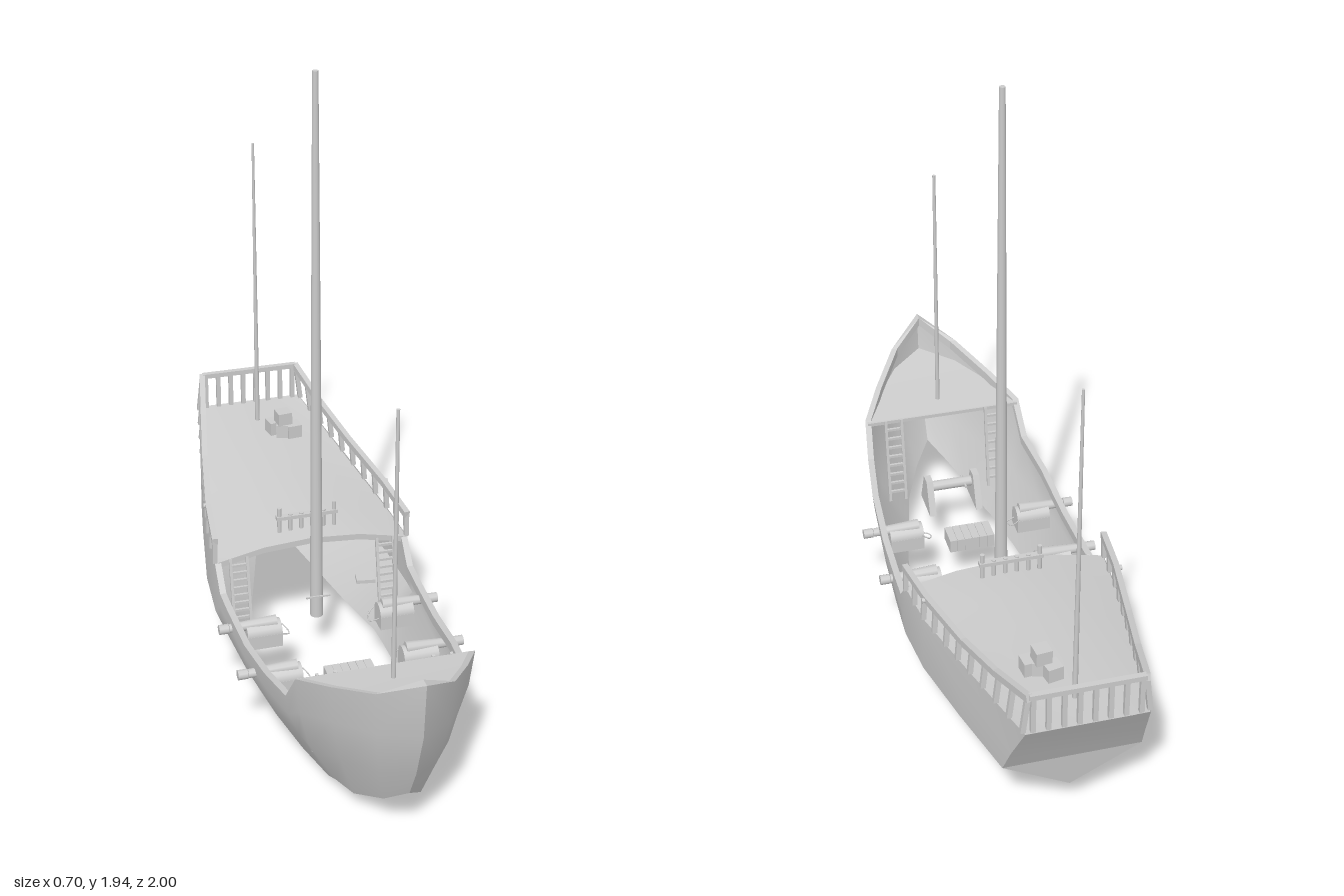
import * as THREE from 'three';
import { toCreasedNormals } from 'three/addons/utils/BufferGeometryUtils.js';

const mat = new THREE.MeshStandardMaterial({ color: 0xcccccc, side: THREE.DoubleSide });
const V = (p) => new THREE.Vector3(...p);

function add(parent, name, geo, x = 0, y = 0, z = 0) {
  const m = new THREE.Mesh(geo, mat);
  m.name = name;
  m.position.set(x, y, z);
  parent.add(m);
  return m;
}

// Surface through rows of [x, y, z] points
function loft(rows, crease = 0.7) {
  const n = rows[0].length, index = [];
  for (let i = 0; i < rows.length - 1; i++)
    for (let j = 0; j < n - 1; j++) {
      const a = i * n + j, b = a + n;
      index.push(a, b, a + 1, b, b + 1, a + 1);
    }
  const g = new THREE.BufferGeometry();
  g.setAttribute('position', new THREE.Float32BufferAttribute(rows.flat(2), 3));
  g.setIndex(index);
  return toCreasedNormals(g, crease);
}

// Square bar or round rod between two points
function bar(parent, name, a, b, w, h = w) {
  const m = add(parent, name, new THREE.BoxGeometry(w, h, V(a).distanceTo(V(b))));
  m.position.copy(V(a)).lerp(V(b), 0.5);
  m.lookAt(V(b));
  return m;
}
function rod(parent, name, a, b, r0, r1 = r0, sides = 10) {
  const d = V(b).sub(V(a));
  const m = add(parent, name, new THREE.CylinderGeometry(r1, r0, d.length(), sides));
  m.position.copy(V(a)).lerp(V(b), 0.5);
  m.quaternion.setFromUnitVectors(new THREE.Vector3(0, 1, 0), d.normalize());
  return m;
}

// Point at depth z on a polyline that runs from front to back
function at(line, z) {
  let i = 0;
  while (i < line.length - 2 && z < line[i + 1][2]) i++;
  const [a, b] = [line[i], line[i + 1]], t = (z - a[2]) / (b[2] - a[2]);
  return a.map((v, k) => v + (b[k] - v) * t);
}

const flip = ([x, y, z], s) => [x * s, y, z];

// Hull stations: open bottom edge, knuckle, side, sheer
const station = (z, pts) => pts.map(([x, y]) => [x, y, z]);
const hull = [
  [[0, 0.165, 0.875], [0, 0.27, 0.93], [0, 0.43, 0.985], [0, 0.61, 1]],
  [[0.055, 0.108, 0.81], [0.085, 0.24, 0.855], [0.105, 0.4, 0.895], [0.113, 0.54, 0.905]],
  [[0.11, 0.055, 0.7], [0.16, 0.21, 0.735], [0.19, 0.36, 0.755], [0.2, 0.485, 0.765]],
  [[0.135, 0.035, 0.6], [0.22, 0.19, 0.62], [0.252, 0.32, 0.635], [0.265, 0.44, 0.642]],
  station(0.567, [[0.148, 0.028], [0.233, 0.19], [0.267, 0.27], [0.275, 0.335]]),
  station(0.4, [[0.182, 0.015], [0.273, 0.18], [0.291, 0.25], [0.297, 0.306]]),
  station(0.2, [[0.212, 0.003], [0.3, 0.18], [0.307, 0.23], [0.308, 0.273]]),
  station(0, [[0.22, 0], [0.312, 0.18], [0.314, 0.23], [0.314, 0.273]]),
  station(-0.09, [[0.217, 0.003], [0.316, 0.178], [0.317, 0.23], [0.316, 0.278]]),
  station(-0.155, [[0.21, 0.01], [0.318, 0.175], [0.32, 0.26], [0.316, 0.35]]),
  station(-0.34, [[0.16, 0.02], [0.305, 0.185], [0.305, 0.28], [0.298, 0.365]]),
  station(-0.6, [[0.08, 0.065], [0.26, 0.21], [0.262, 0.3], [0.252, 0.405]]),
  [[0, 0.11, -0.85], [0.205, 0.235, -0.87], [0.195, 0.33, -0.92], [0.178, 0.465, -1]],
];
const sheer = hull.map((s) => s[3]);
const railTop = [[0.314, 0.43, -0.155], [0.293, 0.45, -0.34], [0.246, 0.482, -0.6], [0.205, 0.525, -0.8], [0.165, 0.585, -0.993]];

function addHull(g) {
  for (const s of [1, -1]) {
    add(g, 'hullSide', loft(hull.map((st) => st.map((p) => flip(p, s))), 0.55));
    // Gunwale cap with a short inner lip along the bow and waist
    add(g, 'gunwale', loft(sheer.slice(0, 10).map(([x, y, z], i) => {
      const xi = Math.max(0, x - 0.02), zi = i ? z : z - 0.03;
      return [[x, y, z], [xi, y, zi], [xi, y - 0.03, zi]].map((p) => flip(p, s));
    }), 0.4));
  }
  const end = hull[hull.length - 1];
  add(g, 'transom', loft([end, end.map((p) => flip(p, -1))], 0.3));
}

function addDecks(g) {
  // Cambered quarterdeck
  const row = ([w, y, z, c], drop = 0) =>
    [-1, -0.5, 0, 0.5, 1].map((t) => [w * t, y + c * (1 - t * t) - drop, z]);
  const q = [[0.314, 0.35, -0.155, 0.045], [0.297, 0.362, -0.34, 0.05], [0.251, 0.4, -0.6, 0.03], [0.177, 0.464, -0.998, 0]];
  add(g, 'quarterdeck', loft(q.map((r) => row(r))));
  add(g, 'quarterdeckEdge', loft([row(q[0]), row(q[0], 0.02)]));
  // Foredeck tapering into the bow
  const f = [[0.262, 0.435, 0.635], [0.195, 0.448, 0.76], [0.107, 0.465, 0.897], [0, 0.48, 0.985]];
  add(g, 'foredeck', loft(f.map(([w, y, z]) => [[-w, y, z], [0, y, z], [w, y, z]])));
  bar(g, 'foredeckBeam', [-0.258, 0.427, 0.637], [0.258, 0.427, 0.637], 0.012);
}

function addRails(g) {
  for (const s of [1, -1]) {
    for (let i = 0; i < railTop.length - 1; i++)
      bar(g, 'sideRail', flip(railTop[i], s), flip(railTop[i + 1], s), 0.018, 0.022);
    for (let i = 0; i < 11; i++) {
      const z = -0.163 - i * 0.082;
      bar(g, 'railPost', flip(at(sheer, z), s), flip(at(railTop, z), s), 0.015);
    }
    rod(g, 'pin', [0.285 * s, 0.45, -0.35], [0.308 * s, 0.45, -0.35], 0.008);
  }
  bar(g, 'sternRail', [-0.165, 0.587, -0.99], [0.165, 0.587, -0.99], 0.018, 0.016);
  for (let i = 0; i < 8; i++) {
    const x = -0.154 + i * 0.044;
    bar(g, 'sternPost', [x, 0.465, -0.99], [x, 0.585, -0.99], 0.014);
  }
  // Short rail at the front of the quarterdeck
  bar(g, 'deckRail', [-0.1, 0.445, -0.22], [0.1, 0.445, -0.22], 0.02, 0.012);
  for (let i = 0; i < 6; i++) {
    const x = -0.09 + i * 0.036;
    rod(g, 'deckRailPost', [x, 0.385, -0.22], [x, i % 5 ? 0.455 : 0.48, -0.22], 0.007);
  }
}

function addMasts(g) {
  rod(g, 'mainMast', [0, 0.14, -0.105], [0, 1.945, -0.105], 0.021, 0.009, 14);
  rod(g, 'foreMast', [0, 0.43, 0.71], [0, 1.285, 0.71], 0.007, 0.005);
  rod(g, 'aftMast', [0, 0.44, -0.875], [0, 1.46, -0.875], 0.008, 0.004);
  bar(g, 'mastCleat', [-0.04, 0.22, -0.082], [0.04, 0.22, -0.082], 0.005);
}

function addCannon(g, z, s) {
  const c = new THREE.Group();
  c.name = 'cannon';
  add(c, 'carriage', new THREE.BoxGeometry(0.11, 0.045, 0.07), 0.213, 0.19, 0);
  const lid = add(c, 'carriageTop', new THREE.CylinderGeometry(0.035, 0.035, 0.11, 10, 1, false, 0, Math.PI), 0.213, 0.21, 0);
  lid.rotation.z = Math.PI / 2;
  rod(c, 'barrel', [0.17, 0.24, 0], [0.32, 0.237, 0], 0.02, 0.014);
  rod(c, 'muzzle', [0.322, 0.237, 0], [0.352, 0.237, 0], 0.016);
  const rope = new THREE.CatmullRomCurve3([[0.165, 0.22, -0.035], [0.14, 0.2, -0.03], [0.13, 0.19, 0.005], [0.165, 0.2, 0.015]].map(V));
  add(c, 'rope', new THREE.TubeGeometry(rope, 12, 0.002, 5));
  c.position.z = z;
  if (s < 0) c.scale.x = -1;
  g.add(c);
}

function addLadder(g, x, top, zTop, zFoot) {
  const l = new THREE.Group();
  l.name = 'ladder';
  for (const d of [-0.027, 0.027]) bar(l, 'ladderSide', [x + d, 0.14, zFoot], [x + d, top, zTop], 0.009);
  for (let i = 1; i < 9; i++) {
    const t = i / 9, y = 0.14 + (top - 0.14) * t, z = zFoot + (zTop - zFoot) * t;
    bar(l, 'rung', [x - 0.027, y, z], [x + 0.027, y, z], 0.008);
  }
  g.add(l);
}

function addFittings(g) {
  for (const s of [1, -1]) {
    for (const z of [0.045, 0.295]) addCannon(g, z, s);
    addLadder(g, 0.172 * s, 0.435, 0.628, 0.585);
    addLadder(g, 0.24 * s, 0.36, -0.155, -0.11);
    // Winch end frame
    const tri = new THREE.Shape([[-0.065, 0], [0.065, 0], [0.02, 0.11], [-0.02, 0.11]].map((p) => new THREE.Vector2(...p)));
    const frame = add(g, 'winchFrame', new THREE.ExtrudeGeometry(tri, { depth: 0.022, bevelEnabled: false }), 0.08 * s - 0.011, 0.14, 0.525);
    frame.rotation.y = Math.PI / 2;
  }
  rod(g, 'winchDrum', [-0.08, 0.21, 0.535], [0.08, 0.21, 0.535], 0.018);
  rod(g, 'winchHandle', [-0.045, 0.21, 0.5], [-0.045, 0.21, 0.57], 0.004);
  // Planked hatch amidships
  for (let i = 0; i < 6; i++)
    add(g, 'hatchPlank', new THREE.BoxGeometry(0.024, 0.045, 0.08), -0.0625 + i * 0.025, 0.165, 0.287);
  add(g, 'step', new THREE.BoxGeometry(0.06, 0.012, 0.05), 0.17, 0.23, -0.135).rotation.y = -0.15;
  // Crates by the aft mast
  [[0.035, 0.475, -0.775, 0.2], [0.06, 0.475, -0.745, -0.3], [0.09, 0.475, -0.735, 0.1], [0.06, 0.518, -0.75, 0.1]].forEach(([x, y, z, r]) => {
    add(g, 'crate', new THREE.BoxGeometry(0.048, 0.045, 0.048), x, y, z).rotation.y = r;
  });
}

export function createModel() {
  const g = new THREE.Group();
  g.name = 'sailingShip';
  addHull(g);
  addDecks(g);
  addRails(g);
  addMasts(g);
  addFittings(g);
  return g;
}
